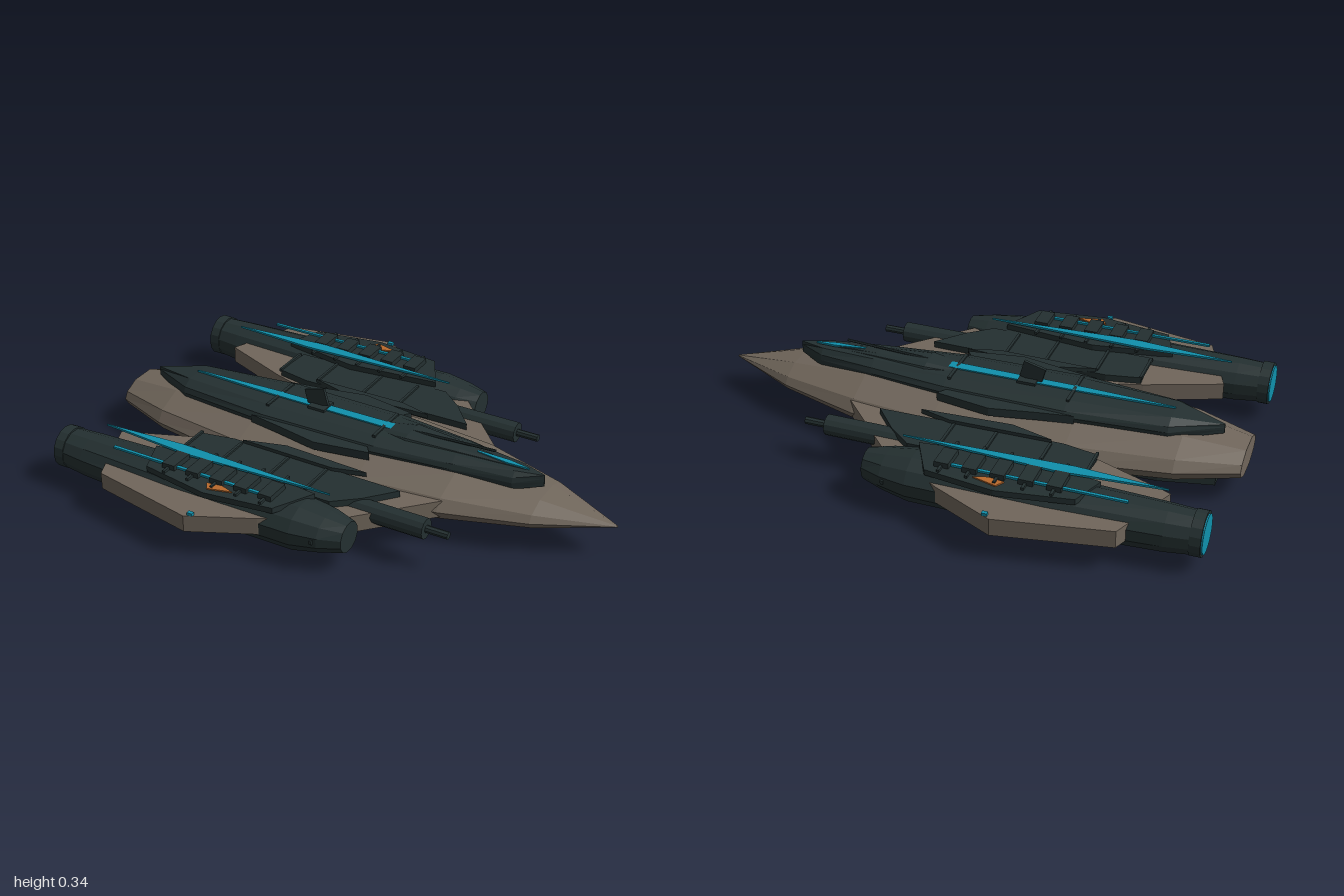
import * as THREE from 'three';

const mat = (name, color, extra = {}) => {
  const m = new THREE.MeshStandardMaterial({ color, flatShading: true, ...extra });
  m.name = name;
  return m;
};

export function createModel() {
  const ship = new THREE.Group();
  ship.name = 'spaceship';
  const tan = mat('tan hull', 0x70665b);
  const dark = mat('dark armour', 0x243031);
  const blue = mat('blue glow', 0x1090ac);
  const orange = mat('orange marking', 0xb8692c);

  const add = (name, geo, material, parent = ship) => {
    const mesh = new THREE.Mesh(geo, material);
    mesh.name = name;
    parent.add(mesh);
    return mesh;
  };

  // Lofts a unit section [z, y] along x; stations are [x, halfWidth, yBottom, yTop]
  const loft = (stations, section, zc = 0) => {
    const pos = [], idx = [], n = section.length;
    for (const [x, w, y0, y1] of stations)
      for (const [z, y] of section) pos.push(x, (y0 + y1) / 2 + y * (y1 - y0) / 2, zc + z * w);
    for (let s = 0; s < stations.length - 1; s++)
      for (let i = 0; i < n; i++) {
        const j = (i + 1) % n, a = s * n + i, d = s * n + j;
        idx.push(a, a + n, d + n, a, d + n, d);
      }
    const last = (stations.length - 1) * n;
    for (let i = 1; i < n - 1; i++) idx.push(0, i, i + 1, last, last + i + 1, last + i);
    const g = new THREE.BufferGeometry();
    g.setAttribute('position', new THREE.Float32BufferAttribute(pos, 3));
    g.setIndex(idx);
    const flat = g.toNonIndexed();
    flat.computeVertexNormals();
    return flat;
  };

  // Flat plate from an [x, z] outline between two heights
  const plate = (outline, y0, y1, side = 1) => {
    const shape = new THREE.Shape(outline.map(([x, z]) => new THREE.Vector2(x, -z * side)));
    return new THREE.ExtrudeGeometry(shape, { depth: y1 - y0, bevelEnabled: false })
      .rotateX(-Math.PI / 2).translate(0, y0, 0);
  };
  const box = (x0, x1, y0, y1, z0, z1) =>
    new THREE.BoxGeometry(x1 - x0, y1 - y0, Math.abs(z1 - z0))
      .translate((x0 + x1) / 2, (y0 + y1) / 2, (z0 + z1) / 2);
  const rodX = (x0, x1, r, y, z, sides = 12) =>
    new THREE.CylinderGeometry(r, r, x1 - x0, sides).rotateZ(-Math.PI / 2).translate((x0 + x1) / 2, y, z);
  const mirrorOutline = half => [...half, ...half.map(([x, z]) => [x, -z]).reverse()];

  // Main hull
  const hullSection = [[1, 0], [0.87, 0.5], [0.4, 1], [-0.4, 1], [-0.87, 0.5],
    [-1, 0], [-0.87, -0.5], [-0.38, -1], [0.38, -1], [0.87, -0.5]];
  add('hull', loft([[-1, 0.12, 0.07, 0.175], [-0.78, 0.205, 0.045, 0.205], [-0.4, 0.268, 0.03, 0.217],
    [0.1, 0.275, 0.03, 0.22], [0.42, 0.237, 0.045, 0.212], [0.73, 0.14, 0.075, 0.178],
    [1, 0.004, 0.121, 0.127]], hullSection), tan);

  // Upper deck, canopy and belly
  const deckSection = [[1, -0.2], [0.92, 0.4], [0.58, 1], [-0.58, 1], [-0.92, 0.4], [-1, -0.2], [-0.95, -1], [0.95, -1]];
  add('upperDeck', loft([[-0.91, 0.004, 0.2, 0.235], [-0.73, 0.1, 0.19, 0.258], [-0.36, 0.142, 0.2, 0.262],
    [0.1, 0.134, 0.2, 0.262], [0.4, 0.095, 0.195, 0.26], [0.62, 0.055, 0.185, 0.25],
    [0.72, 0.003, 0.2, 0.245]], deckSection), dark);
  add('canopy', loft([[0.08, 0.04, 0.25, 0.262], [0.2, 0.06, 0.25, 0.276], [0.4, 0.04, 0.25, 0.268],
    [0.65, 0.006, 0.235, 0.25]], deckSection), dark);
  add('belly', plate(mirrorOutline([[-0.9, 0.04], [-0.7, 0.085], [-0.2, 0.105], [0.15, 0.09], [0.54, 0.006]]), 0, 0.045), dark);

  // Glowing deck stripes
  add('deckStripe', plate(mirrorOutline([[-0.73, 0.002], [-0.4, 0.016], [0.12, 0.02]]), 0.26, 0.267), blue);
  const noseStripe = add('noseStripe', plate(mirrorOutline([[-0.1, 0.004], [0.02, 0.011], [0.1, 0.002]]), 0, 0.006), blue);
  noseStripe.position.set(0.56, 0.255, 0);
  noseStripe.rotation.z = -0.06;

  // Deck ribs, mast and forward antenna
  for (const x of [-0.36, 0.09]) add('deckRib', box(x - 0.006, x + 0.006, 0.255, 0.267, -0.09, 0.09), dark);
  add('mastBase', box(-0.22, -0.15, 0.255, 0.272, -0.035, 0.035), dark);
  const mast = add('mast', new THREE.BoxGeometry(0.085, 0.065, 0.012), dark);
  mast.position.set(-0.2, 0.298, 0);
  mast.rotation.z = 0.26;
  const antenna = add('antenna', rodX(-0.165, 0.165, 0.005, 0, 0, 6), dark);
  antenna.position.set(0.365, 0.279, 0);
  antenna.rotation.z = 0.045;

  const round = Array.from({ length: 12 }, (_, i) => {
    const a = (i + 0.5) * Math.PI / 6;
    return [Math.cos(a) * 1.03, Math.sin(a) * 1.03];
  });

  // Wings, nacelles and guns, once for each side
  for (const s of [1, -1]) {
    const g = new THREE.Group();
    g.name = s < 0 ? 'farSide' : 'nearSide';
    ship.add(g);
    const zn = 0.51 * s;

    add('wing', plate([[-0.71, 0.65], [-0.3, 0.73], [-0.07, 0.62], [0.2, 0.455], [0.43, 0.21],
      [-0.3, 0.2], [-0.54, 0.27], [-0.82, 0.38]], 0.1, 0.165, s), tan, g);
    add('wingTipLight', box(-0.29, -0.27, 0.165, 0.176, s * 0.705, s * 0.72), blue, g);
    add('wingArmour', plate([[-0.53, 0.275], [-0.4, 0.25], [0.29, 0.26], [0.2, 0.365], [0.11, 0.44], [-0.52, 0.43]], 0.165, 0.19, s), dark, g);
    add('shoulderBlade', plate([[-0.36, 0.26], [-0.2, 0.215], [0.14, 0.232], [0.02, 0.265]], 0.185, 0.203, s), dark, g);
    add('deckBlade', plate([[-0.4, 0.14], [-0.28, 0.16], [-0.1, 0.195], [0.11, 0.16], [0.08, 0.12]], 0.205, 0.237, s), dark, g);

    // Engine nacelle with nozzle ring and glow
    add('nacelle', loft([[-0.95, 0.075, 0.055, 0.2], [-0.85, 0.085, 0.045, 0.203], [-0.45, 0.11, 0.035, 0.205],
      [0.05, 0.108, 0.035, 0.205], [0.15, 0.09, 0.055, 0.192], [0.23, 0.058, 0.07, 0.18]], round, zn), dark, g);
    add('nozzleRing', rodX(-0.975, -0.935, 0.08, 0.128, zn, 16), dark, g);
    add('engineGlow', rodX(-0.98, -0.972, 0.07, 0.128, zn, 16), blue, g);
    add('noseRing', box(0.13, 0.14, 0.12, 0.135, s * 0.4, s * 0.61), dark, g);

    // Nacelle roof plating, glowing strips and cross bars
    add('roofPlate', plate([[-0.6, 0.46], [-0.55, 0.59], [-0.28, 0.635], [-0.02, 0.6], [0.06, 0.45], [-0.3, 0.41]], 0.19, 0.212, s), dark, g);
    add('innerGlow', plate([[-0.83, 0.447], [-0.5, 0.427], [0.12, 0.448], [-0.45, 0.477]], 0.222, 0.23, s), blue, g);
    add('outerGlow', box(-0.72, -0.1, 0.215, 0.223, s * 0.544, s * 0.556), blue, g);
    add('orangeMarking', plate([[-0.3, 0.58], [-0.28, 0.612], [-0.19, 0.588], [-0.24, 0.572]], 0.211, 0.217, s), orange, g);
    for (let i = 0; i < 5; i++) {
      const x = -0.47 + i * 0.1;
      add('crossBar', box(x - 0.026, x + 0.026, 0.208, 0.232, s * 0.475, s * 0.57), dark, g);
      add('crossRod', box(x - 0.005, x + 0.005, 0.212, 0.222, s * 0.41, s * 0.6), dark, g);
    }
    for (const x of [-0.53, -0.36, -0.16, 0])
      add('wingRib', box(x - 0.005, x + 0.005, 0.185, 0.197, s * 0.27, s * 0.42), dark, g);

    // Gun beside the hull
    add('gunBody', rodX(0.15, 0.45, 0.038, 0.147, s * 0.365), dark, g);
    add('gunBarrel', rodX(0.44, 0.535, 0.014, 0.147, s * 0.365, 8), dark, g);
  }
  return ship;
}
